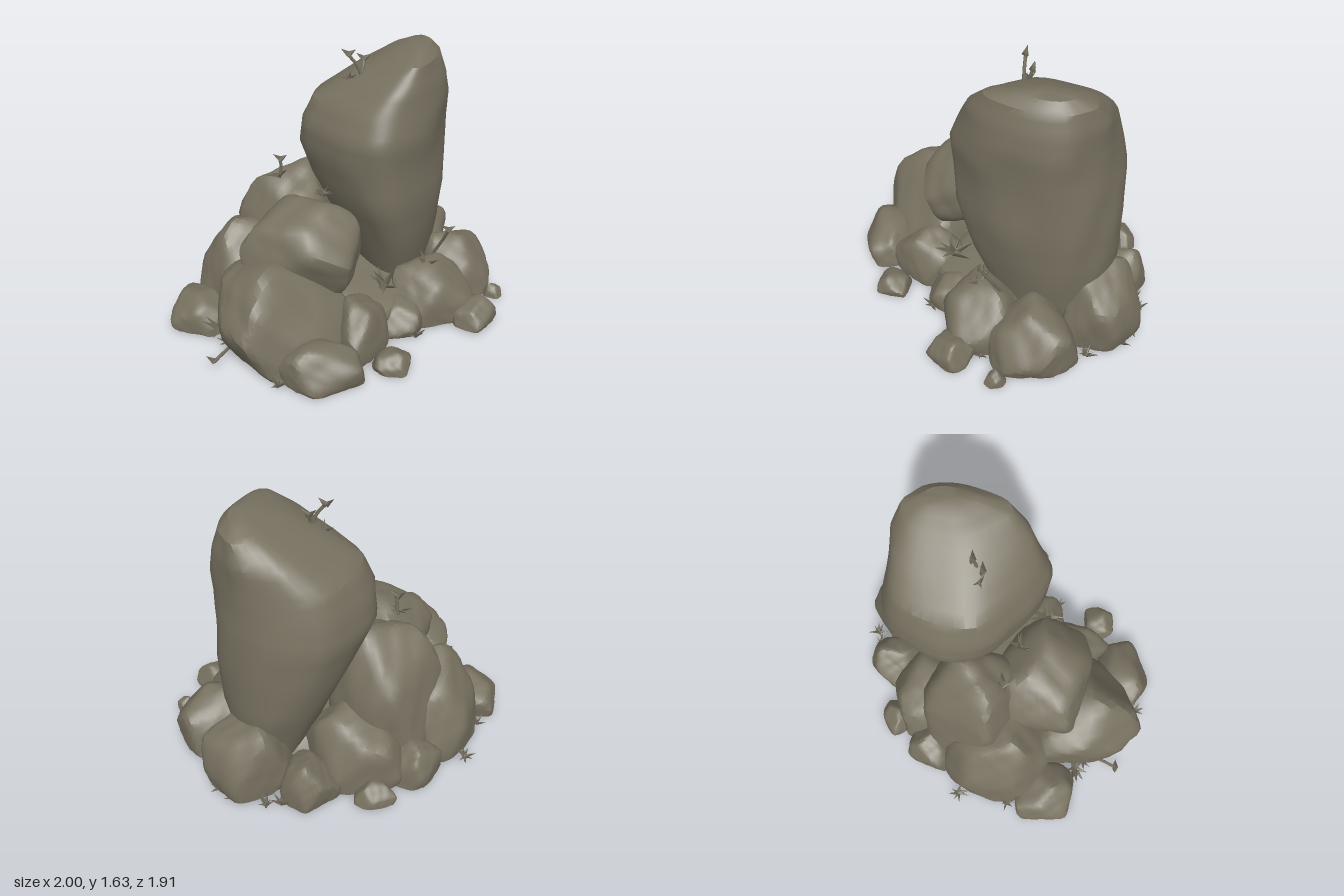
import * as THREE from 'three';
import { toCreasedNormals } from 'three/addons/utils/BufferGeometryUtils.js';

const stone = new THREE.MeshStandardMaterial({ color: 0x777160 });
stone.name = 'mossy grey stone';

// small seeded generator
function seeded(seed) {
  let s = seed * 7919 + 17;
  return () => {
    s = (s * 1664525 + 1013904223) % 4294967296;
    return s / 4294967296;
  };
}
const floorAt = (z) => 0.05 - 0.016 * z;
const wobble = (x, y, z) =>
  Math.sin(x * 9 + y * 4) * Math.cos(z * 8 - y * 5) + 0.5 * Math.sin(y * 15 + z * 13 + x * 11);

function add(parent, name, geometry) {
  const mesh = new THREE.Mesh(geometry, stone);
  mesh.name = name;
  parent.add(mesh);
  return mesh;
}

// Boulder: sphere cut by softened planes, sized between its limits, flattened at the floor
function boulder(seed, x0, x1, top, z0, z1, leanX = 0, leanZ = 0, foot = -0.3 * top) {
  const rnd = seeded(seed), planes = [];
  for (let i = 0; i < 15; i++) {
    const y = 1 - (2 * (i + 0.5)) / 15, a = i * 2.4 + rnd() * 0.9 + seed, r = Math.sqrt(1 - y * y);
    planes.push(new THREE.Vector3(Math.cos(a) * r, y, Math.sin(a) * r).divideScalar(0.8 + rnd() * 0.2));
  }
  const g = new THREE.IcosahedronGeometry(1, 8);
  g.deleteAttribute('uv');
  g.deleteAttribute('normal');
  const p = g.attributes.position, v = new THREE.Vector3();
  for (let i = 0; i < p.count; i++) {
    v.fromBufferAttribute(p, i).normalize();
    let sum = 0.02;
    for (const n of planes) sum += Math.max(0, v.dot(n)) ** 16;
    v.multiplyScalar(sum ** (-1 / 16) * (1 + 0.015 * wobble(v.x + seed, v.y, v.z)));
    p.setXYZ(i, v.x + leanX * v.y, v.y, v.z + leanZ * v.y);
  }
  g.computeBoundingBox();
  const { min, max } = g.boundingBox;
  const fit = THREE.MathUtils.mapLinear;
  for (let i = 0; i < p.count; i++) {
    const z = fit(p.getZ(i), min.z, max.z, z0, z1);
    const y = fit(p.getY(i), min.y, max.y, foot, top);
    p.setXYZ(i, fit(p.getX(i), min.x, max.x, x0, x1), Math.max(floorAt(z), y), z);
  }
  return toCreasedNormals(g, 0.5);
}

// Standing stone: one rounded outline lofted through changing widths
function standingStone() {
  const outline = new THREE.CatmullRomCurve3([
    [0.15, 1], [-0.12, 0.92], [-0.94, 0.22], [-0.95, -0.4], [-0.55, -0.94],
    [0.4, -0.95], [0.97, -0.45], [0.9, 0.3], [0.4, 0.92],
  ].map(([x, z]) => new THREE.Vector3(x, 0, z)), true, 'centripetal');
  // y, x from, x to, z from, z to
  const rows = [
    [0.06, 0.12, 0.48, -0.6, -0.1], [0.5, -0.06, 0.56, -0.72, 0.1], [0.8, -0.2, 0.59, -0.73, 0.21],
    [1.05, -0.29, 0.58, -0.72, 0.23], [1.2, -0.27, 0.58, -0.69, 0.24], [1.35, -0.2, 0.59, -0.66, 0.18],
    [1.48, 0, 0.57, -0.64, 0.12], [1.6, 0.22, 0.53, -0.58, 0.01], [1.65, 0.34, 0.48, -0.48, -0.17],
  ];
  const N = 40, STEPS = 3, levels = (rows.length - 1) * STEPS, pos = [], idx = [];
  for (let i = 0; i <= levels; i++) {
    const low = rows[Math.floor(i / STEPS)], high = rows[Math.ceil(i / STEPS)];
    const [y, xa, xb, za, zb] = low.map((a, k) => THREE.MathUtils.lerp(a, high[k], (i % STEPS) / STEPS));
    for (let j = 0; j < N; j++) {
      const o = outline.getPoint(j / N);
      o.multiplyScalar(1 + 0.022 * wobble(o.x * 0.6, y * 0.6, o.z * 0.6));
      pos.push((xa + xb + o.x * (xb - xa)) / 2, y, (za + zb + o.z * (zb - za)) / 2);
    }
  }
  const top = levels * N, crown = top + N;
  pos.push(0.41, 1.662, -0.31, 0.31, 0.06, -0.35);
  for (let j = 0; j < N; j++) {
    const k = (j + 1) % N;
    for (let i = 0; i < top; i += N) idx.push(i + j, i + j + N, i + k, i + k, i + j + N, i + k + N);
    idx.push(top + j, crown, top + k, j, k, crown + 1);
  }
  const g = new THREE.BufferGeometry();
  g.setAttribute('position', new THREE.Float32BufferAttribute(pos, 3));
  g.setIndex(idx);
  return toCreasedNormals(g, 0.55);
}

const blade = new THREE.ConeGeometry(0.2, 1, 3).translate(0, 0.5, 0);

// Tuft: short pointed blades fanned about one spot
function grassTuft(seed, x, y, z, size, count) {
  const tuft = new THREE.Group(), rnd = seeded(seed);
  tuft.name = 'grassTuft';
  tuft.position.set(x, y, z);
  for (let i = 0; i < count; i++) {
    const m = add(tuft, 'blade', blade);
    m.scale.setScalar(size * (0.7 + rnd() * 0.4));
    m.rotation.set(0, (i / count) * Math.PI * 2 + rnd(), 0.4 + rnd() * 1.2, 'YXZ');
  }
  return tuft;
}

// Sprout: bent stem from root to tip with a pair of leaves
function sprout(root, tip) {
  const group = new THREE.Group();
  group.name = 'sprout';
  const a = new THREE.Vector3(...root), b = new THREE.Vector3(...tip);
  const bend = a.clone().lerp(b, 0.5).add(new THREE.Vector3(0.01, 0.01, 0));
  add(group, 'stem', new THREE.TubeGeometry(new THREE.CatmullRomCurve3([a, bend, b]), 6, 0.01, 5));
  for (const side of [-1, 1]) {
    const leaf = add(group, 'leaf', blade);
    leaf.position.copy(b);
    leaf.rotation.z = side * 0.9;
    leaf.scale.set(0.1, 0.055, 0.12);
  }
  return group;
}

export function createModel() {
  const model = new THREE.Group();
  model.name = 'rockPile';
  add(model, 'standingStone', standingStone());
  add(model, 'shoulderBoulder', boulder(1, -0.66, -0.02, 0.92, -0.5, 0.14, 0.2, 0.22, 0));
  add(model, 'ledgeBoulder', boulder(2, -0.54, 0.14, 0.86, -0.05, 0.53, 0.05, 0, 0.25));
  add(model, 'coreBoulder', boulder(19, -0.55, 0.55, 0.34, -0.6, 0.45));

  // x from, x to, top, z from, z to, lean in x, lean in z
  const frontRocks = {
    frontBoulder: [-0.66, 0.14, 0.6, 0.1, 0.88, -0.32, -0.06],
    frontLowBoulder: [-0.28, 0.23, 0.27, 0.58, 0.95],
    frontSideBoulder: [0, 0.33, 0.35, 0.2, 0.67],
    innerRightBoulder: [0.2, 0.52, 0.24, 0.05, 0.37],
    rightBoulder: [0.3, 0.82, 0.39, -0.28, 0.25, -0.15],
    rightStone: [0.68, 0.96, 0.2, -0.04, 0.24],
    frontPebble: [0.25, 0.47, 0.15, 0.51, 0.71],
    leftFrontBoulder: [-1, -0.62, 0.25, 0.1, 0.48],
  };
  const rearRocks = {
    rightRearBoulder: [0.44, 0.92, 0.4, -0.62, -0.1, -0.15],
    rearBoulder: [0.1, 0.62, 0.51, -0.93, -0.48],
    rearMiddleBoulder: [-0.2, 0.14, 0.34, -0.91, -0.55],
    rearLeftStone: [-0.52, -0.27, 0.18, -0.8, -0.57],
    leftRearBoulder: [-0.73, -0.42, 0.32, -0.6, -0.28],
    rearShoulderBoulder: [-0.53, 0.08, 0.5, -0.73, -0.2, 0.1, 0.1],
    leftBoulder: [-0.9, -0.38, 0.63, -0.37, 0.32, 0.15, 0.15],
    rightPebble: [0.88, 1, 0.13, -0.26, -0.14],
  };
  Object.entries({ ...frontRocks, ...rearRocks }).forEach(([name, limits], i) =>
    add(model, name, boulder(i + 3, ...limits)));

  // Grass in the cracks: x, y, z, size, blade count
  const crackTufts = [
    [-0.1, 0.84, 0.08, 0.09, 6], [-0.38, 0.9, 0, 0.08, 5], [0.28, 0.34, 0.24, 0.13, 8],
    [0.52, 0.36, 0, 0.1, 5], [-0.66, 0.1, 0.48, 0.11, 10], [0.02, 1.47, -0.15, 0.07, 5],
  ];
  crackTufts.forEach((t, i) => model.add(grassTuft(i + 50, ...t)));

  // Grass along the foot of the pile: x, z
  const footTufts = [
    [0.2, -0.9], [0.4, -0.89], [0.64, -0.66], [0.79, -0.07], [0.48, 0.32], [0.12, -0.87],
    [-0.24, 0.87], [-0.6, 0.53], [-0.9, 0.05], [-0.86, -0.26], [0.5, -0.84],
  ];
  footTufts.forEach(([x, z], i) => model.add(grassTuft(i + 70, x, floorAt(z) + 0.01, z, 0.075, 9)));

  model.add(
    sprout([0.1, 1.48, -0.14], [0.02, 1.62, -0.13]),
    sprout([0.08, 1.48, -0.16], [0.1, 1.58, -0.19]),
    sprout([-0.38, 0.88, -0.02], [-0.37, 1, -0.01]),
    sprout([0.54, 0.34, -0.14], [0.64, 0.58, -0.04]),
    sprout([-0.57, 0.06, 0.55], [-0.63, 0.07, 0.74]),
  );
  return model;
}
